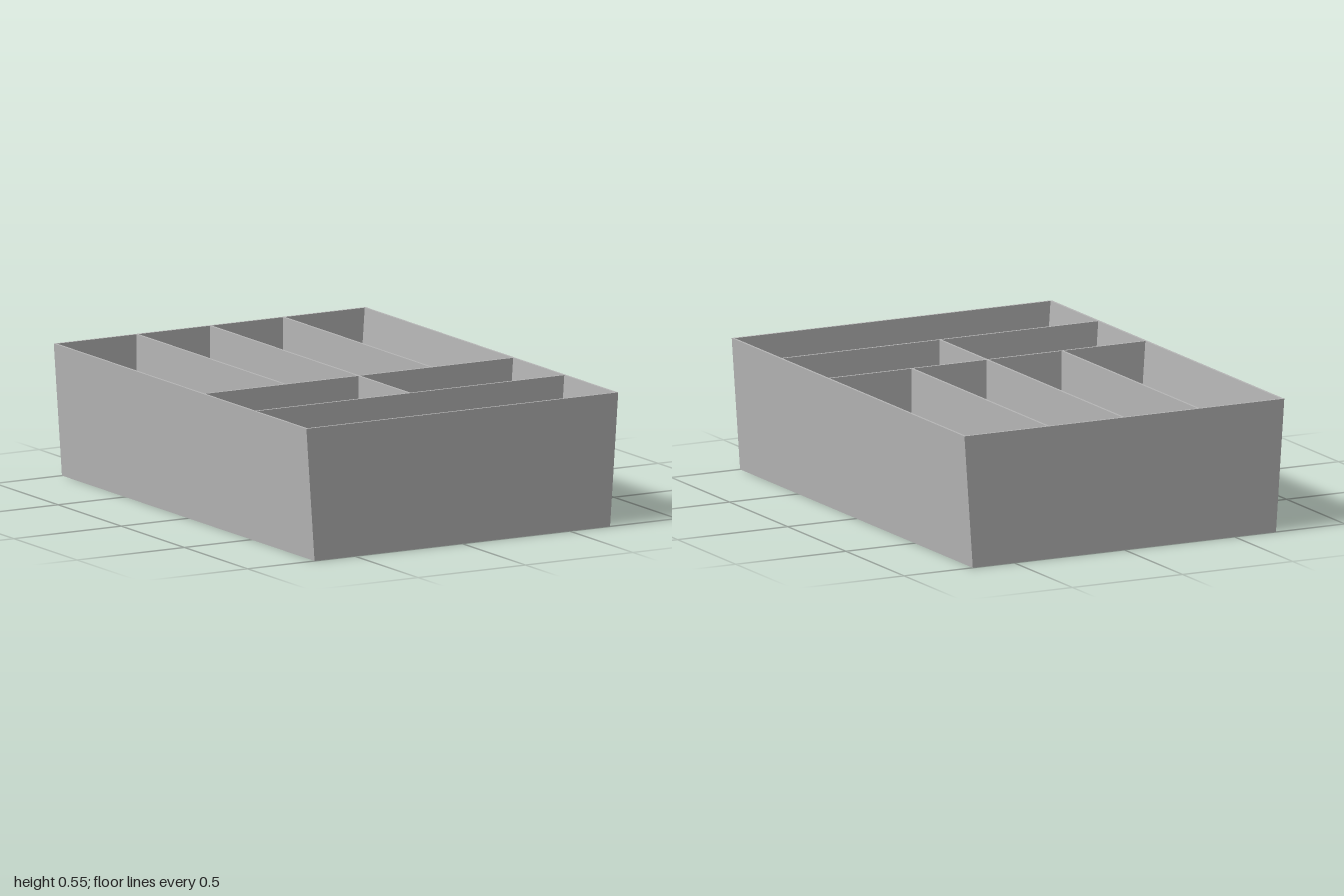
import * as THREE from 'three';

const H = 0.545;      // tray height
const T = 0.01;       // wall, floor and divider thickness
const BOTTOM = 0.688; // outer half width at the base
const TOP = 0.726;    // outer half width at the rim

// outer half width at height y; the left and right sides lean outward
const halfWidth = (y) => BOTTOM + (TOP - BOTTOM) * (y / H);

export function createModel() {
  const tray = new THREE.Group();
  tray.name = 'drawerOrganizer';
  const grey = new THREE.MeshStandardMaterial({ color: 0xb6b6b6 });
  grey.name = 'grey plastic';

  // extrude a cross-section in x and y along z from z0 to z1
  function addSection(name, points, z0, z1) {
    const shape = new THREE.Shape(points.map(([x, y]) => new THREE.Vector2(x, y)));
    const geometry = new THREE.ExtrudeGeometry(shape, { depth: z1 - z0, bevelEnabled: false });
    geometry.translate(0, 0, z0);
    const mesh = new THREE.Mesh(geometry, grey);
    mesh.name = name;
    tray.add(mesh);
  }

  // floor and leaning side walls as one U-shaped channel
  addSection('floorAndSideWalls', [
    [-BOTTOM, 0], [BOTTOM, 0], [TOP, H], [TOP - T, H],
    [halfWidth(T) - T, T], [T - halfWidth(T), T], [T - TOP, H], [-TOP, H],
  ], -1 + T, 1 - T);

  // front and back walls
  const end = [[-BOTTOM, 0], [BOTTOM, 0], [TOP, H], [-TOP, H]];
  addSection('frontWall', end, 1 - T, 1);
  addSection('backWall', end, -1, -1 + T);

  // dividers running across the full inner width
  const w = halfWidth(T) - T;
  const across = [[-w, T], [w, T], [TOP - T, H], [T - TOP, H]];
  const zRear = 0.18, zFront = 0.585;
  addSection('rearCrossDivider', across, zRear - T / 2, zRear + T / 2);
  addSection('frontCrossDivider', across, zFront - T / 2, zFront + T / 2);

  // dividers running front to back
  function addLengthDivider(name, x, z0, z1) {
    const mesh = new THREE.Mesh(new THREE.BoxGeometry(T, H - T, z1 - z0), grey);
    mesh.position.set(x, (H + T) / 2, (z0 + z1) / 2);
    mesh.name = name;
    tray.add(mesh);
  }
  for (const x of [-0.341, 0, 0.341]) addLengthDivider('rearLengthDivider', x, -1 + T, zRear - T / 2);
  addLengthDivider('middleLengthDivider', 0, zRear + T / 2, zFront - T / 2);

  return tray;
}
